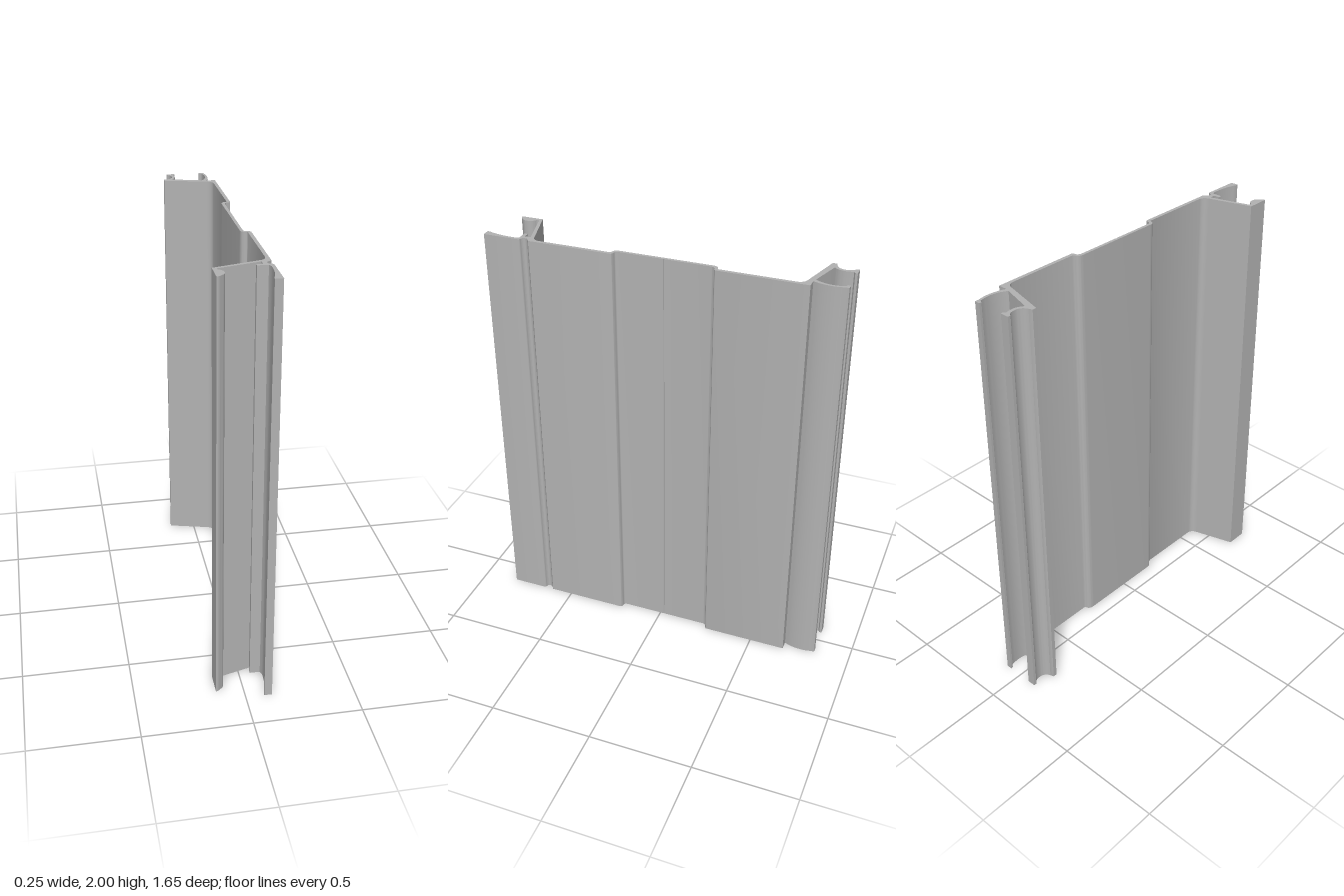
import * as THREE from 'three';
import { toCreasedNormals } from 'three/addons/utils/BufferGeometryUtils.js';

const HEIGHT = 2;

// Outline in plan (x, z): pairs are lines, fours are quadratic curves (control, end).
function extrudePlan(name, material, outline) {
  const shape = new THREE.Shape();
  outline.forEach((p, i) => {
    if (i === 0) shape.moveTo(p[0], -p[1]);
    else if (p.length === 2) shape.lineTo(p[0], -p[1]);
    else shape.quadraticCurveTo(p[0], -p[1], p[2], -p[3]);
  });
  const geometry = new THREE.ExtrudeGeometry(shape, { depth: HEIGHT, bevelEnabled: false, curveSegments: 8 });
  geometry.rotateX(-Math.PI / 2);
  const mesh = new THREE.Mesh(toCreasedNormals(geometry, 0.6), material);
  mesh.name = name;
  return mesh;
}

export function createModel() {
  const group = new THREE.Group();
  group.name = 'extrudedPanelProfile';
  const metal = new THREE.MeshStandardMaterial({ color: 0xb2b2b2 });
  metal.name = 'greyMetal';
  const add = (name, outline) => group.add(extrudePlan(name, metal, outline));

  // Main web with recessed middle, fine centre groove and filleted corners
  add('panel', [
    [0.122, -0.672], [0.122, -0.265], [0.122, -0.257, 0.112, -0.256],
    [0.091, -0.254, 0.091, -0.232],
    [0.091, -0.023], [0.088, -0.02], [0.091, -0.017],
    [0.091, 0.185], [0.091, 0.204, 0.108, 0.205], [0.122, 0.206, 0.122, 0.218],
    [0.122, 0.607], [0.105, 0.62], [0.08, 0.615], [0.07, 0.6],
    [0.105, 0.593, 0.106, 0.56],
    [0.106, 0.225], [0.106, 0.218, 0.1, 0.217], [0.077, 0.212, 0.077, 0.188],
    [0.077, -0.235], [0.077, -0.265, 0.1, -0.268], [0.106, -0.269, 0.106, -0.275],
    [0.106, -0.61], [0.105, -0.643, 0.07, -0.65], [0.07, -0.672],
  ]);

  // Back flange and the hook on its free edge
  add('backFlange', [
    [0.07, -0.65], [0.07, -0.675], [-0.085, -0.722], [-0.11, -0.728],
    [-0.127, -0.722], [-0.127, -0.703],
  ]);
  add('backHook', [
    [-0.11, -0.728], [-0.083, -0.738, -0.079, -0.765], [-0.078, -0.803, -0.1, -0.812],
    [-0.1, -0.826], [-0.06, -0.826], [-0.06, -0.815], [-0.07, -0.808],
    [-0.063, -0.785, -0.065, -0.765], [-0.068, -0.74, -0.085, -0.722],
  ]);

  // Curved fin behind the face of the panel
  add('backFin', [
    [0.058, -0.677], [0.083, -0.71, 0.085, -0.755], [0.085, -0.79, 0.077, -0.808],
    [0.065, -0.815], [0.065, -0.826], [0.09, -0.826], [0.09, -0.808],
    [0.098, -0.78, 0.096, -0.745], [0.094, -0.705, 0.078, -0.672], [0.07, -0.668],
  ]);

  // Front flange ending in a rounded bead
  add('frontFlange', [
    [0.07, 0.6], [-0.127, 0.657], [-0.127, 0.675], [-0.11, 0.675], [-0.107, 0.667], [0.08, 0.615],
  ]);
  add('frontBead', [
    [-0.127, 0.67], [-0.127, 0.762], [-0.115, 0.762, -0.103, 0.748],
    [-0.086, 0.738, -0.086, 0.715], [-0.087, 0.69, -0.108, 0.68], [-0.11, 0.67],
  ]);

  // Neck, inner lip and tapered leg beyond the shadow gap
  add('frontLeg', [
    [0.08, 0.613], [0.08, 0.643], [0.052, 0.643], [0.052, 0.66], [0.1, 0.66],
    [0.107, 0.68], [0.108, 0.76, 0.086, 0.815], [0.086, 0.826], [0.122, 0.826],
    [0.122, 0.658], [0.121, 0.65, 0.112, 0.648], [0.1, 0.646, 0.1, 0.632],
    [0.1, 0.622, 0.106, 0.619],
  ]);

  return group;
}
